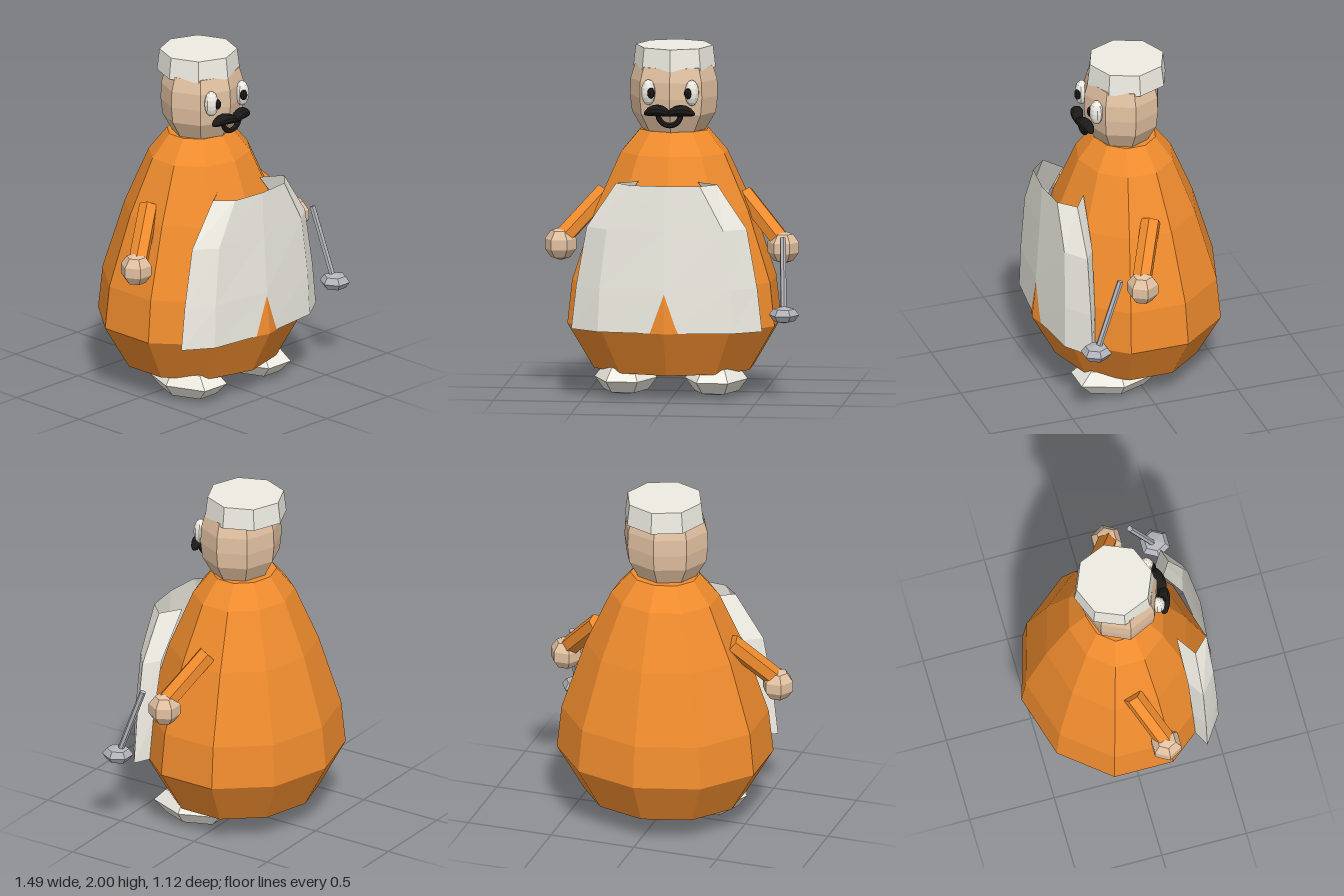
import * as THREE from 'three';

const CX = -0.017; // centre line of the figure
const mat = (color, extra = {}) => new THREE.MeshStandardMaterial({ color, flatShading: true, ...extra });

export function createModel() {
  const group = new THREE.Group();
  const orange = mat(0xf08c2e), skin = mat(0xe3c2a2), black = mat(0x1c1a18);
  const white = mat(0xeeece2), steel = mat(0xb4b4bc);
  const cloth = mat(0xeeece2, { side: THREE.DoubleSide });

  const add = (name, geometry, material, x = 0, y = 0, z = 0) => {
    const mesh = new THREE.Mesh(geometry, material);
    mesh.name = name;
    mesh.position.set(x, y, z);
    group.add(mesh);
    return mesh;
  };
  const lathe = (pts, sides) => new THREE.LatheGeometry(pts.map(p => new THREE.Vector2(...p)), sides);
  // squashed low-poly ball
  const ball = (name, material, pos, [rx, ry, rz], w = 6, h = 4) => {
    const mesh = add(name, new THREE.SphereGeometry(1, w, h), material, ...pos);
    mesh.scale.set(rx, ry, rz);
    return mesh;
  };
  // straight rod between two points
  const rod = (name, material, a, b, r, sides) => {
    const p = new THREE.Vector3(...a), q = new THREE.Vector3(...b);
    const mesh = add(name, new THREE.CylinderGeometry(r, r, p.distanceTo(q), sides), material);
    mesh.position.copy(p).add(q).multiplyScalar(0.5);
    mesh.quaternion.setFromUnitVectors(new THREE.Vector3(0, 1, 0), q.sub(p).normalize());
    return mesh;
  };

  // Robe: ten-sided bell, wider than deep
  const body = add('body', lathe([[0, 0.15], [0.42, 0.15], [0.56, 0.41], [0.535, 0.66],
    [0.412, 1.07], [0.28, 1.39], [0.18, 1.52], [0, 1.52]], 10), orange, CX);
  body.scale.x = 1.117;

  // Head and cap
  const head = add('head', lathe([[0, 1.51], [0.16, 1.515], [0.215, 1.62], [0.225, 1.715],
    [0.222, 1.81], [0.2, 1.89], [0, 1.95]], 8), skin, CX, 0, 0.02);
  head.scale.x = 1.12;
  add('cap', new THREE.CylinderGeometry(0.222, 0.237, 0.125, 8), white, CX, 1.9375, -0.012);

  // Apron: open shell wrapped round the front, ends folded inward
  // per row: y, then [x, z] from the middle to the folded end
  const rows = [
    [0.41, [0, 0.546], [0.385, 0.5], [0.548, 0.39], [0.45, 0.34]],
    [0.66, [0, 0.5365], [0.375, 0.495], [0.52, 0.39], [0.43, 0.335]],
    [1.0, [0, 0.515], [0.335, 0.485], [0.46, 0.39], [0.36, 0.325]],
    [1.255, [0, 0.5], [0.2, 0.48], [0.29, 0.39], [0.17, 0.31]],
  ];
  const verts = [], index = [], n = 7;
  rows.forEach(([y, ...half], r) => {
    for (let i = 0; i < n; i++) {
      const [x, z] = half[Math.abs(i - 3)];
      verts.push(Math.sign(i - 3) * x, y, z);
      if (r && i) {
        const d = r * n + i, c = d - 1, b = d - n, a = b - 1;
        index.push(a, b, d, a, d, c);
      }
    }
  });
  const shell = new THREE.BufferGeometry();
  shell.setAttribute('position', new THREE.Float32BufferAttribute(verts, 3));
  shell.setIndex(index);
  shell.computeVertexNormals();
  add('apron', shell, cloth, CX);

  // Mirrored parts
  for (const s of [1, -1]) {
    const side = s > 0 ? 'left' : 'right';
    const X = x => CX + s * x;
    rod(side + 'Arm', orange, [X(0.4), 1.145, -0.015], [X(0.625), 0.9, 0.12], 0.058, 6);
    ball(side + 'Hand', skin, [X(0.64), 0.86, 0.12], [0.095, 0.095, 0.095], 6, 5);
    ball(side + 'Foot', white, [X(0.26), 0.105, 0.16], [0.18, 0.1, 0.26]);

    const eye = ball(side + 'Eye', white, [X(0.125), 1.755, 0.215], [0.042, 0.075, 0.04], 10, 8);
    eye.rotation.y = s * 0.4;
    ball(side + 'Pupil', black, [X(0.107), 1.755, 0.245], [0.024, 0.032, 0.02], 8, 6);

    // Moustache half: tapered lobe whose tip sags down and back
    const lobe = new THREE.SphereGeometry(1, 10, 8);
    lobe.rotateZ(Math.PI / 2);
    lobe.scale(0.082, 0.033, 0.038);
    const p = lobe.attributes.position;
    for (let i = 0; i < p.count; i++) {
      const x = p.getX(i);
      p.setY(i, p.getY(i) - 3.5 * x * x);
      p.setZ(i, p.getZ(i) - 0.2 * s * x);
    }
    add(side + 'Moustache', lobe, black, X(0.066), 1.66, 0.265);
  }

  // Lower lip: half ring hanging under the moustache
  const lip = add('mouth', new THREE.TorusGeometry(0.065, 0.016, 6, 10, Math.PI), black, CX, 1.635, 0.25);
  lip.rotation.z = Math.PI;

  // Ladle in the left hand
  rod('ladleHandle', steel, [0.635, 0.935, 0.26], [0.657, 0.53, 0.405], 0.018, 6);
  ball('ladleBowl', steel, [0.66, 0.513, 0.415], [0.087, 0.049, 0.09]);

  return group;
}
